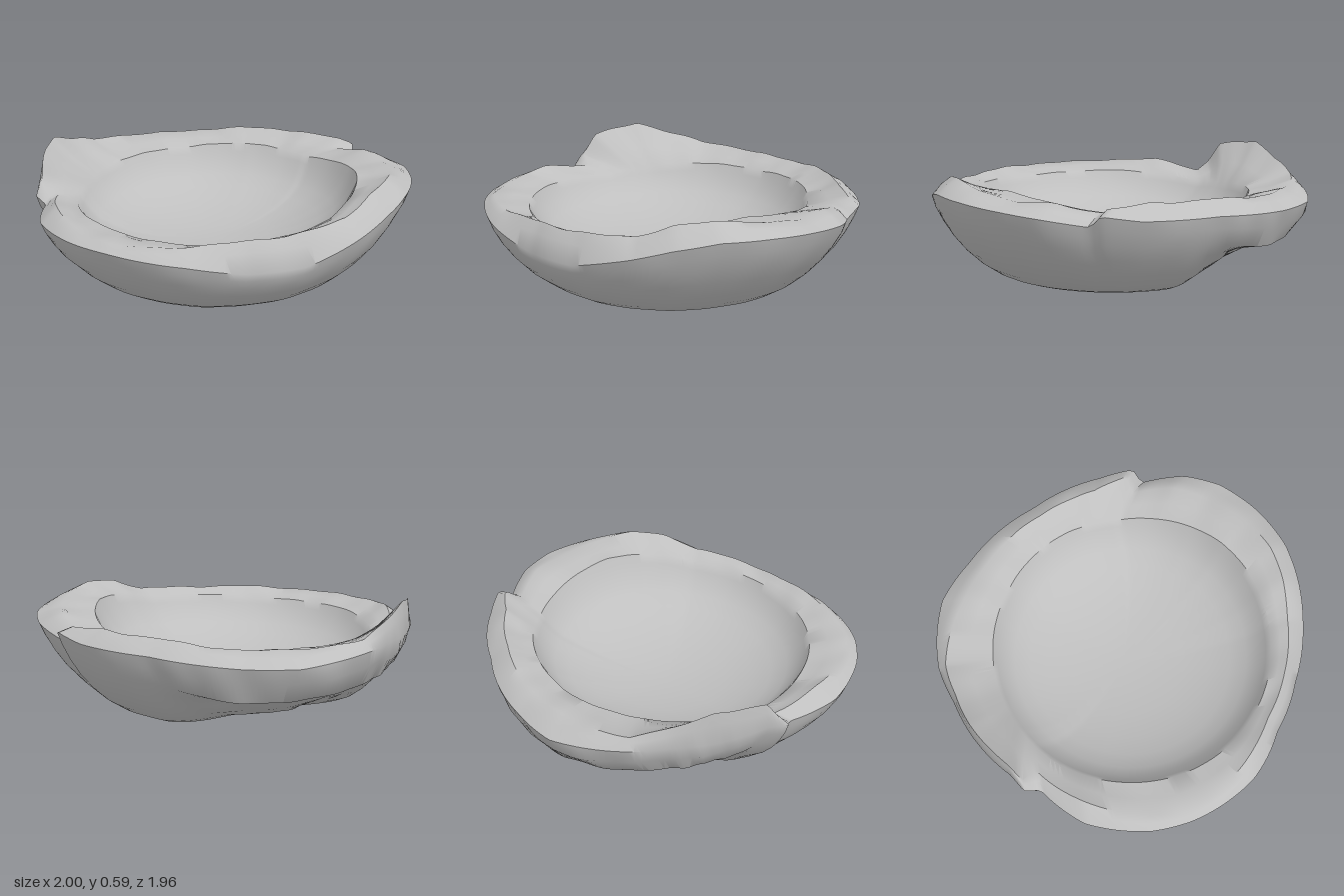
import * as THREE from 'three';
import { toCreasedNormals } from 'three/addons/utils/BufferGeometryUtils.js';

const SEGMENTS = 220;

// Broken rim, by angle from +x towards +z:
// [degrees, outer radius, outer height, crest height, crest position inner..outer, inner height]
const RIM = [
  [0, 0.985, 0.43, 0.49, 0.6, 0.42], [11, 1.015, 0.46, 0.485, 0.8, 0.42],
  [14, 0.97, 0.40, 0.45, 0.6, 0.41], [27, 1.04, 0.44, 0.50, 0.6, 0.44],
  [38, 1.06, 0.46, 0.49, 0.6, 0.47], [52, 1.05, 0.47, 0.52, 0.6, 0.49],
  [66, 1.03, 0.47, 0.54, 0.6, 0.48], [78, 1.0, 0.43, 0.52, 0.55, 0.46],
  [90, 0.97, 0.37, 0.455, 0.5, 0.42], [109, 0.93, 0.29, 0.44, 0.5, 0.40],
  [127, 0.92, 0.29, 0.43, 0.5, 0.39], [145, 0.975, 0.35, 0.42, 0.6, 0.38],
  [168, 1.0, 0.38, 0.41, 0.8, 0.38], [180, 1.0, 0.38, 0.42, 0.7, 0.38],
  [200, 0.97, 0.37, 0.43, 0.6, 0.37], [217, 0.885, 0.36, 0.39, 0.6, 0.35],
  [221, 0.935, 0.39, 0.44, 0.85, 0.36], [227, 0.915, 0.42, 0.55, 0.93, 0.37],
  [245, 0.93, 0.42, 0.60, 0.94, 0.38], [258, 0.94, 0.42, 0.53, 0.9, 0.39],
  [270, 0.98, 0.42, 0.47, 0.85, 0.40], [293, 1.01, 0.39, 0.45, 0.6, 0.41],
  [308, 0.97, 0.39, 0.46, 0.6, 0.41], [336, 0.94, 0.42, 0.49, 0.6, 0.43],
];

// Outer wall from the base up, as fractions of rim radius and height: whole and chipped
const WALL = [[0.63, 0], [0.675, 0.04], [0.74, 0.14], [0.82, 0.31], [0.89, 0.5], [0.94, 0.68], [0.98, 0.86], [1, 1]];
const CHIPPED = [[0.41, 0], [0.5, 0.07], [0.61, 0.2], [0.7, 0.36], [0.77, 0.46], [0.91, 0.53], [0.98, 0.8], [1, 1]];

// Hollow from its edge down to the middle: radius fraction, height fraction
const HOLLOW = [[0.97, 0.86], [0.92, 0.68], [0.85, 0.5], [0.74, 0.35], [0.6, 0.21], [0.42, 0.095], [0.22, 0.025], [0, 0]];
const FLOOR = 0.115;

const { lerp, smoothstep, degToRad } = THREE.MathUtils;
const wave = (a, k) => (Math.sin(5 * a + 2.1 * k) + Math.sin(11 * a - 1.3 * k) + 0.7 * Math.sin(23 * a + 3.7 * k)) / 2.7;
const bump = (x, centre, width) => Math.exp(-(((x - centre) / width) ** 2));

function rimAt(deg) {
  let i = RIM.length - 1;
  while (RIM[i][0] > deg) i--;
  const p = RIM[i], q = RIM[(i + 1) % RIM.length];
  const end = q[0] > p[0] ? q[0] : 360;
  const t = (deg - p[0]) / (end - p[0]);
  return p.map((v, k) => lerp(v, q[k], t));
}

// Cross-section at one angle, running from under the base, over the rim, into the hollow
function section(deg) {
  const a = degToRad(deg);
  const [, R, outerH, crestH, crestT, innerH] = rimAt(deg);
  const chip = smoothstep(deg, 222, 262) * (1 - smoothstep(deg, 308, 345));
  // the two breaks cross the rim obliquely
  const skew = degToRad(12 * bump(deg, 222, 22) - 8 * (bump(deg, 12, 22) + bump(deg, 372, 22)));
  const b = a + skew;
  const inner = 0.735 - 0.01 * Math.cos(b) + 0.04 * Math.sin(b);
  const points = [];
  const add = (r, y, turn = 0) => {
    const angle = a + turn * skew;
    points.push([r * Math.cos(angle), y, r * Math.sin(angle)]);
  };

  // base and outer wall
  add(0, 0);
  WALL.forEach(([r, h], i) => {
    const soft = i > 0 && i < 7 ? 1 : 0;
    const rough = soft * wave(a, i * (0.25 + chip * 0.9)) * (0.005 + 0.012 * chip);
    const reach = lerp(0.98 + 0.04 * Math.sin(a), R, Math.sqrt(h));
    add(reach * lerp(r, CHIPPED[i][0], chip) + rough, outerH * lerp(h, CHIPPED[i][1], chip));
  });

  // fractured rim
  const crestR = lerp(inner, R, crestT);
  const crestTurn = 1 - crestT;
  add(lerp(R, crestR, 0.5), lerp(outerH, crestH, 0.63) + 0.006 * wave(a, 7), crestTurn / 2);
  add(crestR, crestH + 0.009 * wave(a, 4), crestTurn);
  add(lerp(crestR, inner, 0.5), lerp(crestH, innerH, 0.58) + 0.01 * wave(a, 9), (crestTurn + 1) / 2);
  add(inner, innerH + 0.005 * wave(a, 2), 1);

  // smooth hollow
  HOLLOW.forEach(([r, h]) => add(inner * r, lerp(FLOOR, innerH, h), r ** 3));
  return points;
}

function bowlGeometry() {
  const positions = [], index = [];
  let rows = 0;
  for (let j = 0; j < SEGMENTS; j++) {
    const ring = section((j * 360) / SEGMENTS);
    rows = ring.length;
    positions.push(...ring.flat());
  }
  for (let j = 0; j < SEGMENTS; j++) {
    const next = (j + 1) % SEGMENTS;
    for (let i = 0; i < rows - 1; i++) {
      const p = j * rows + i, q = next * rows + i;
      if (i < rows - 2) index.push(p, p + 1, q + 1);
      else index.push(p, p + 1, q);
      if (i > 0 && i < rows - 2) index.push(p, q + 1, q);
    }
  }
  const geometry = new THREE.BufferGeometry();
  geometry.setAttribute('position', new THREE.Float32BufferAttribute(positions, 3));
  geometry.setIndex(index);
  return toCreasedNormals(geometry, degToRad(45));
}

export function createModel() {
  const stone = new THREE.MeshStandardMaterial({ color: 0xbfbfbf });
  stone.name = 'grey stone';
  const bowl = new THREE.Mesh(bowlGeometry(), stone);
  bowl.name = 'brokenBowl';
  const group = new THREE.Group();
  group.name = 'brokenStoneBowl';
  group.add(bowl);
  return group;
}
